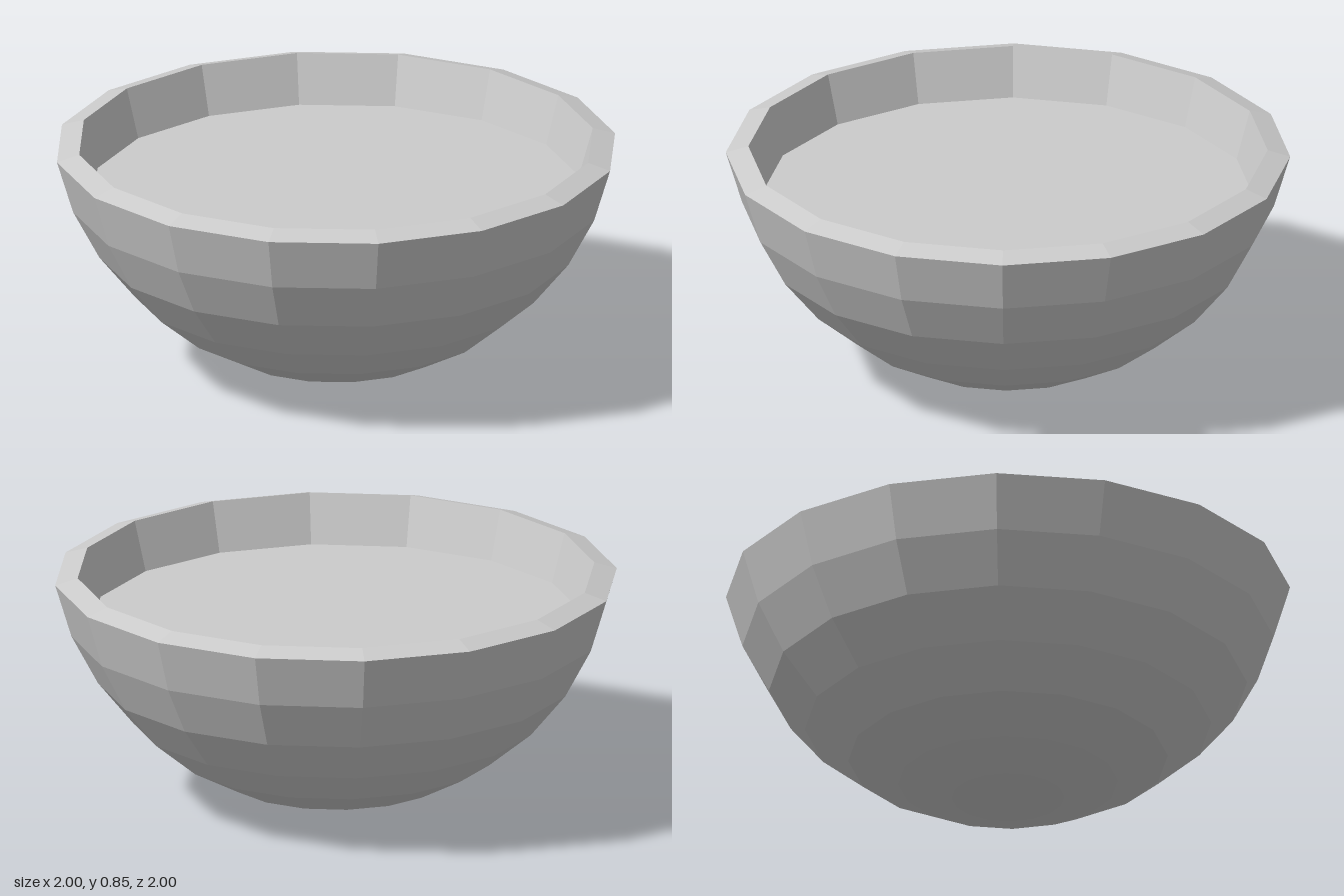
import * as THREE from 'three';

const SIDES = 16;
const RINGS = 7;
const STEP = Math.PI / 16;
const RADIUS = 1 / Math.sin(RINGS * STEP); // sphere whose top ring has radius 1
const RIM_Y = 0.845;
const FILL_Y = 0.668;
const FILL_RADIUS = 0.87;

export function createModel() {
  const group = new THREE.Group();
  group.name = 'bowl';
  const material = new THREE.MeshStandardMaterial({ color: 0xcccccc, flatShading: true });

  // Outer shell: rings of a sphere, from the bottom pole up to the rim
  const profile = [];
  for (let i = 0; i <= RINGS; i++) {
    const a = i * STEP;
    profile.push(new THREE.Vector2(RADIUS * Math.sin(a), RADIUS * (1 - Math.cos(a))));
  }
  // Sloped rim, then the inner wall down to the contents
  profile.push(new THREE.Vector2(0.92, RIM_Y), new THREE.Vector2(FILL_RADIUS, FILL_Y));
  const shell = new THREE.Mesh(new THREE.LatheGeometry(profile, SIDES), material);
  shell.name = 'bowlShell';
  group.add(shell);

  // Flat surface of the contents
  const fill = new THREE.Mesh(new THREE.CircleGeometry(FILL_RADIUS, SIDES), material);
  fill.rotation.x = -Math.PI / 2;
  fill.position.y = FILL_Y;
  fill.name = 'contentsSurface';
  group.add(fill);

  return group;
}
